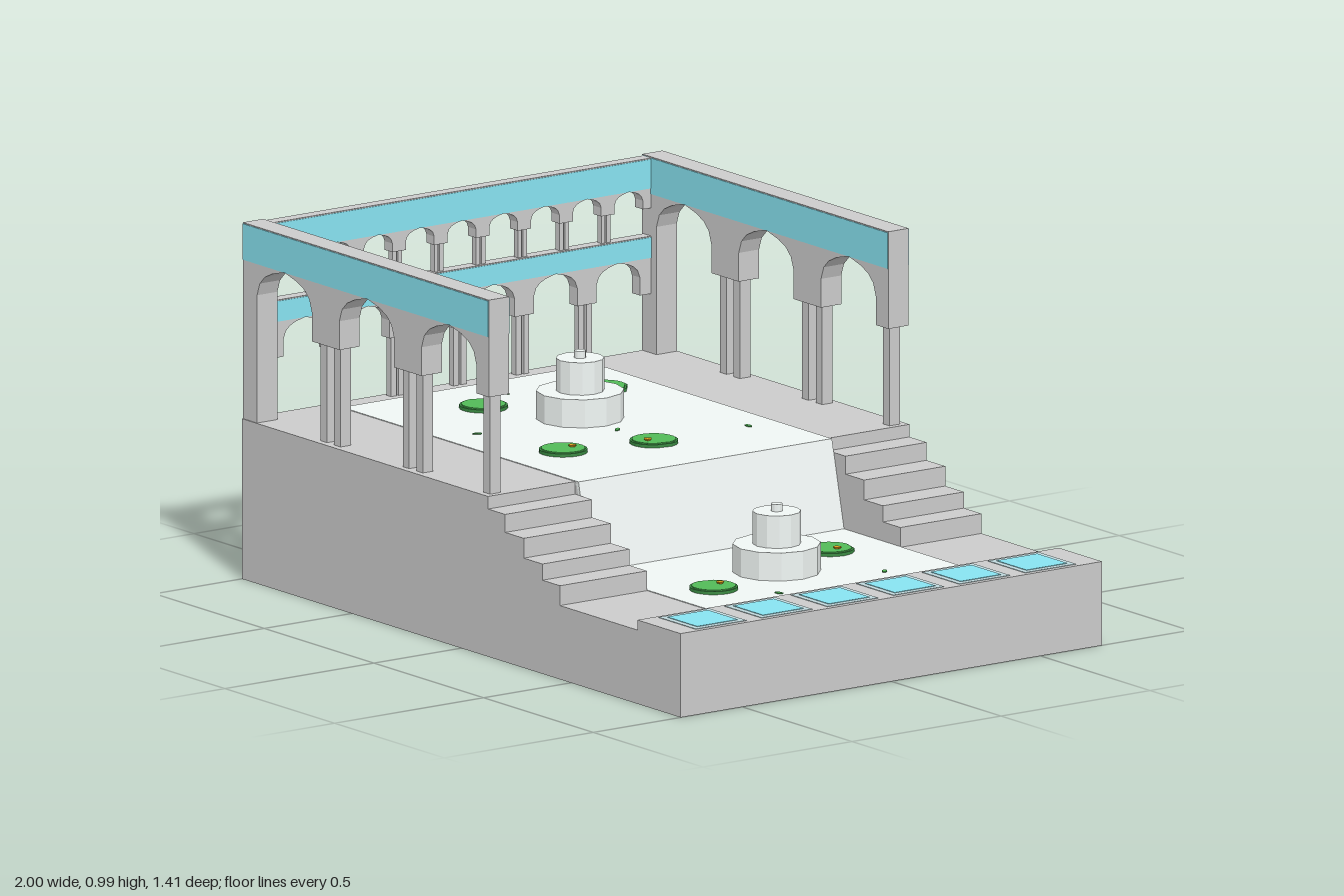
import * as THREE from 'three';

const mat = (color) => new THREE.MeshStandardMaterial({ color, flatShading: true });
const stone = mat(0xcccccc), teal = mat(0x88e3f1), waterMat = mat(0xf0f6f4);
const tileFrame = mat(0xc0d8dc), green = mat(0x52bb58), darkGreen = mat(0x3a8a42), orange = mat(0xe0a020);

const UP = 0.445, LOW = 0.205; // water levels of the two terraces

function add(parent, name, geometry, material) {
  const mesh = new THREE.Mesh(geometry, material);
  mesh.name = name;
  parent.add(mesh);
  return mesh;
}

// Box given by its limits
function block(parent, name, [x0, x1], [y0, y1], [z0, z1], material = stone) {
  const g = new THREE.BoxGeometry(x1 - x0, y1 - y0, z1 - z0);
  g.translate((x0 + x1) / 2, (y0 + y1) / 2, (z0 + z1) / 2);
  return add(parent, name, g, material);
}

// Outline in x and y, extruded from z0 to z1
function slab(parent, name, points, z0, z1, material = stone) {
  const shape = new THREE.Shape(points.map(([x, y]) => new THREE.Vector2(x, y)));
  const g = new THREE.ExtrudeGeometry(shape, { depth: z1 - z0, bevelEnabled: false });
  g.translate(0, 0, z0);
  return add(parent, name, g, material);
}

// Row of pointed arches along x, centred on z = 0, with a coloured band and thin square columns
function arcade(name, o) {
  const group = new THREE.Group();
  group.name = name;
  const pts = [[o.x0, o.top], [o.x0, o.bottom]];
  const rise = o.apex - o.spring;
  // half arch: share of the half width, share of the rise
  const curve = [[1, 0], [0.9, 0.4], [0.72, 0.65], [0.45, 0.83], [0, 1]];
  for (let i = 0; i < o.count; i++) {
    const c = o.first + i * o.period + o.width / 2;
    pts.push([c - o.width / 2, o.bottom]);
    curve.forEach(([u, v]) => pts.push([c - u * o.width / 2, o.spring + v * rise]));
    curve.slice(0, -1).reverse().forEach(([u, v]) => pts.push([c + u * o.width / 2, o.spring + v * rise]));
    pts.push([c + o.width / 2, o.bottom]);
  }
  pts.push([o.x1, o.bottom], [o.x1, o.top]);
  slab(group, 'archWall', pts, -o.depth / 2, o.depth / 2);
  const d = o.depth / 2 + 0.002;
  block(group, 'band', [o.x0 + 0.001, o.x1 - 0.001], [o.apex, o.top - 0.003], [-d, d], teal);

  // paired columns below every inner pier
  const xs = [...(o.extra ?? [])];
  for (let i = 0; i < o.count - 1; i++) {
    const c = o.first + o.width + i * o.period + (o.period - o.width) / 2;
    xs.push(c - o.gap, c + o.gap);
  }
  xs.forEach((x) => block(group, 'column', [x - o.col / 2, x + o.col / 2], [o.floor, o.bottom],
    [-o.colDepth / 2, o.colDepth / 2]));
  return group;
}

function fountain(x, y, z) {
  const group = new THREE.Group();
  group.name = 'fountain';
  [[0.12, 0, 0.08], [0.066, 0.08, 0.17], [0.016, 0.17, 0.19]].forEach(([r, y0, y1], i) => {
    const g = new THREE.CylinderGeometry(r, r, y1 - y0, 12);
    g.translate(0, (y0 + y1) / 2, 0);
    add(group, ['basin', 'drum', 'spout'][i], g, waterMat);
  });
  group.position.set(x, y, z);
  return group;
}

// Notched disc with a raised rim and a small flower; angle turns the notch
function lilyPad(x, y, z, angle) {
  const group = new THREE.Group();
  group.name = 'lilyPad';
  const disc = (name, r, y0, h, material) => {
    const shape = new THREE.Shape();
    shape.moveTo(0.012, 0);
    shape.absarc(0, 0, r, 0.38, Math.PI * 2 - 0.38);
    shape.closePath();
    const g = new THREE.ExtrudeGeometry(shape, { depth: h, bevelEnabled: false, curveSegments: 9 });
    g.rotateX(-Math.PI / 2);
    g.translate(0, y0, 0);
    add(group, name, g, material);
  };
  disc('padRim', 0.066, 0.002, 0.009, darkGreen);
  disc('padLeaf', 0.06, 0.004, 0.01, green);
  const flower = new THREE.CylinderGeometry(0.012, 0.008, 0.006, 6);
  flower.translate(0.012, 0.016, 0.024);
  add(group, 'flower', flower, orange);
  group.position.set(x, y, z);
  group.rotation.y = -angle * Math.PI / 180;
  return group;
}

export function createModel() {
  const model = new THREE.Group();
  model.name = 'waterGarden';

  // Terraced ground: stairs on both sides, a sloped fall in the middle
  const stairs = [[-1, 0], [1, 0], [1, LOW], [0.45, LOW], [0.45, 0.26], [0.37, 0.26], [0.37, 0.305],
    [0.285, 0.305], [0.285, 0.36], [0.2, 0.36], [0.2, 0.41], [0.122, 0.41], [0.122, UP], [-1, UP]];
  slab(model, 'leftStairs', stairs, 0.415, 0.707);
  slab(model, 'rightStairs', stairs, -0.707, -0.435);
  slab(model, 'poolGround', [[-1, 0], [1, 0], [1, LOW], [0.19, LOW], [0.135, UP], [-1, UP]], -0.435, 0.415);

  // Thin sheet of water following the terraces
  slab(model, 'water', [[-0.94, UP - 0.01], [0.13, UP - 0.01], [0.185, LOW - 0.01], [0.775, LOW - 0.01],
    [0.775, LOW + 0.002], [0.193, LOW + 0.002], [0.138, UP + 0.002], [-0.94, UP + 0.002]], -0.435, 0.415, waterMat);

  // Raised walkway with square tiles
  block(model, 'walkway', [0.803, 1], [LOW - 0.01, 0.233], [-0.707, 0.707]);
  for (let i = 0; i < 6; i++) {
    const z = -0.545 + i * 0.221;
    block(model, 'tileFrame', [0.815, 0.985], [0.23, 0.2345], [z - 0.085, z + 0.085], tileFrame);
    block(model, 'tile', [0.832, 0.968], [0.23, 0.236], [z - 0.068, z + 0.068], teal);
  }

  // Side arcades with a solid rear pillar
  for (const s of [1, -1]) {
    const side = arcade(s > 0 ? 'leftArcade' : 'rightArcade', {
      x0: -1, x1: 0.122, first: -0.935, period: 0.375, width: 0.25, count: 3, floor: UP, bottom: 0.72,
      spring: 0.8, apex: 0.887, top: 0.99, depth: 0.068, col: 0.029, colDepth: 0.035, gap: 0.031, extra: [0.09],
    });
    block(side, 'rearPillar', [-1, -0.935], [UP, 0.73], [-0.034, 0.034]);
    side.position.z = s * 0.67;
    model.add(side);
  }

  // Rear arcade in two tiers
  const lower = arcade('rearLowerArcade', {
    x0: -0.637, x1: 0.637, first: -0.597, period: 0.21, width: 0.145, count: 6, floor: UP, bottom: 0.61,
    spring: 0.66, apex: 0.71, top: 0.77, depth: 0.036, col: 0.018, colDepth: 0.02, gap: 0.013,
  });
  const upper = arcade('rearUpperArcade', {
    x0: -0.637, x1: 0.637, first: -0.607, period: 0.14, width: 0.095, count: 9, floor: 0.77, bottom: 0.848,
    spring: 0.872, apex: 0.903, top: 0.987, depth: 0.036, col: 0.013, colDepth: 0.018, gap: 0.009,
  });
  for (const tier of [lower, upper]) {
    tier.rotation.y = Math.PI / 2;
    tier.position.x = -0.977;
    model.add(tier);
  }

  model.add(fountain(-0.46, UP, -0.03), fountain(0.48, LOW, 0.002));

  // Lily pads: x, z, notch direction
  [[-0.69, -0.28, -50], [-0.71, 0.11, 200], [-0.11, -0.02, 10], [-0.17, 0.24, 220],
    [0.38, -0.25, -75], [0.55, 0.265, 195]].forEach(([x, z, a]) =>
    model.add(lilyPad(x, x < 0.13 ? UP : LOW, z, a)));

  // Small drifting leaves
  [[-0.1, -0.33], [-0.79, -0.02], [-0.275, -0.02], [-0.79, 0.27], [-0.46, 0.315],
    [0.67, -0.22], [0.705, 0.16], [0.325, 0.345]].forEach(([x, z], i) => {
    const g = new THREE.CylinderGeometry(0.014, 0.014, 0.003, 6);
    g.scale(1, 1, 0.5);
    const leaf = add(model, 'leaf', g, green);
    leaf.position.set(x, (x < 0.13 ? UP : LOW) + 0.007, z);
    leaf.rotation.y = i * 1.1;
  });
  return model;
}
